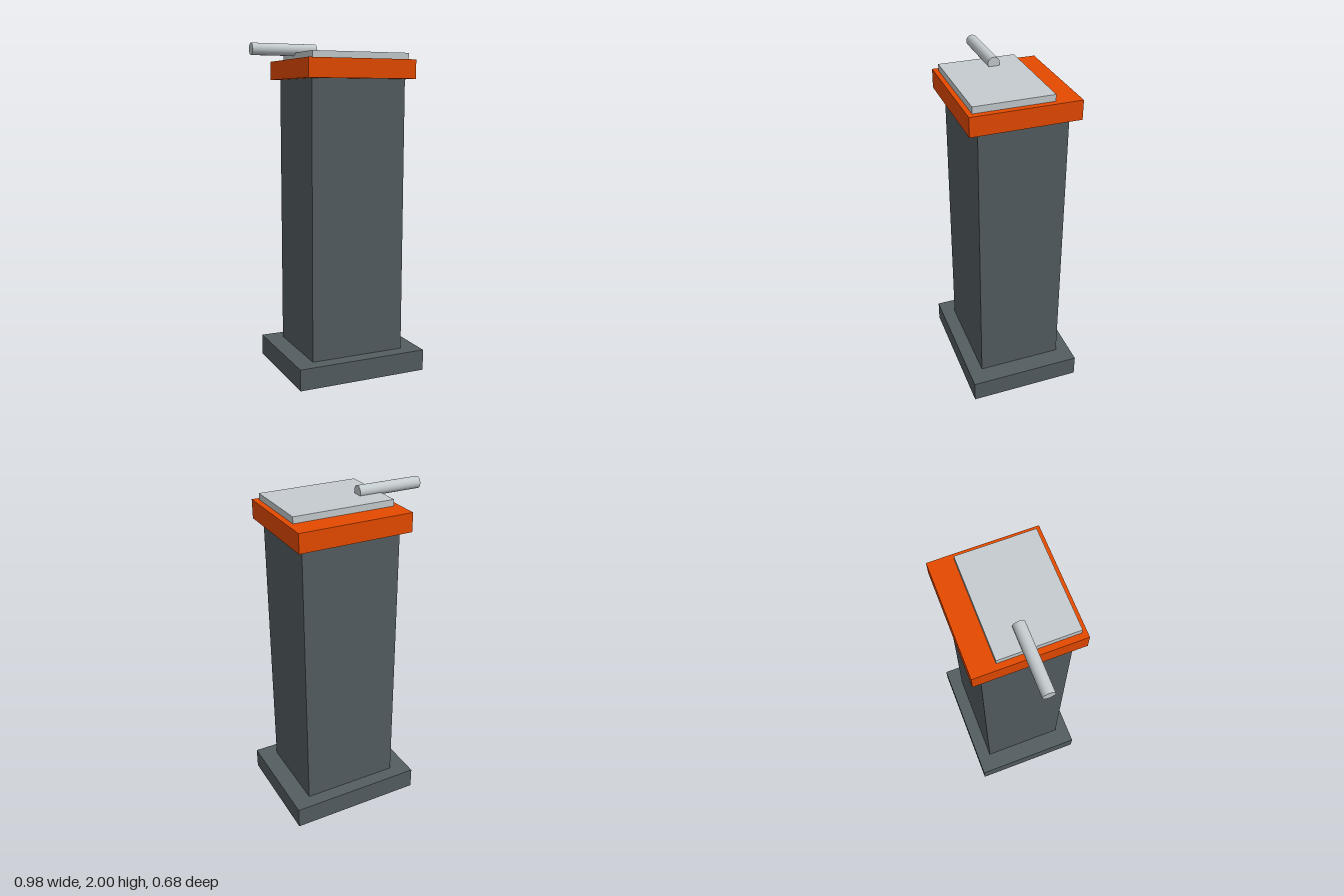
import * as THREE from 'three';

export function createModel() {
  const group = new THREE.Group();
  const material = (name, color) => {
    const m = new THREE.MeshStandardMaterial({ color });
    m.name = name;
    return m;
  };
  const darkGrey = material('dark grey', 0x545d61);
  const orange = material('orange', 0xe64a00);
  const lightGrey = material('light grey', 0xc5cccf);

  // Box given by its lower and upper limits on each axis
  const box = (name, mat, [x0, x1], [y0, y1], [z0, z1]) => {
    const mesh = new THREE.Mesh(new THREE.BoxGeometry(x1 - x0, y1 - y0, z1 - z0), mat);
    mesh.position.set((x0 + x1) / 2, (y0 + y1) / 2, (z0 + z1) / 2);
    mesh.name = name;
    group.add(mesh);
  };

  // Pedestal
  box('base', darkGrey, [-0.334, 0.491], [0, 0.13], [-0.341, 0.341]);
  box('column', darkGrey, [-0.22, 0.378], [0.13, 1.798], [-0.256, 0.256]);

  // Head and the plate set towards its front edge
  box('cap', orange, [-0.264, 0.42], [1.798, 1.91], [-0.313, 0.313]);
  box('topPlate', lightGrey, [-0.229, 0.385], [1.91, 1.948], [-0.171, 0.285]);

  // Round handle lying on the plate and reaching past the right side
  const handle = new THREE.Mesh(new THREE.CylinderGeometry(0.035, 0.035, 0.398, 32), lightGrey);
  handle.rotation.z = Math.PI / 2;
  handle.position.set(-0.292, 1.965, 0);
  handle.name = 'handle';
  group.add(handle);

  return group;
}
